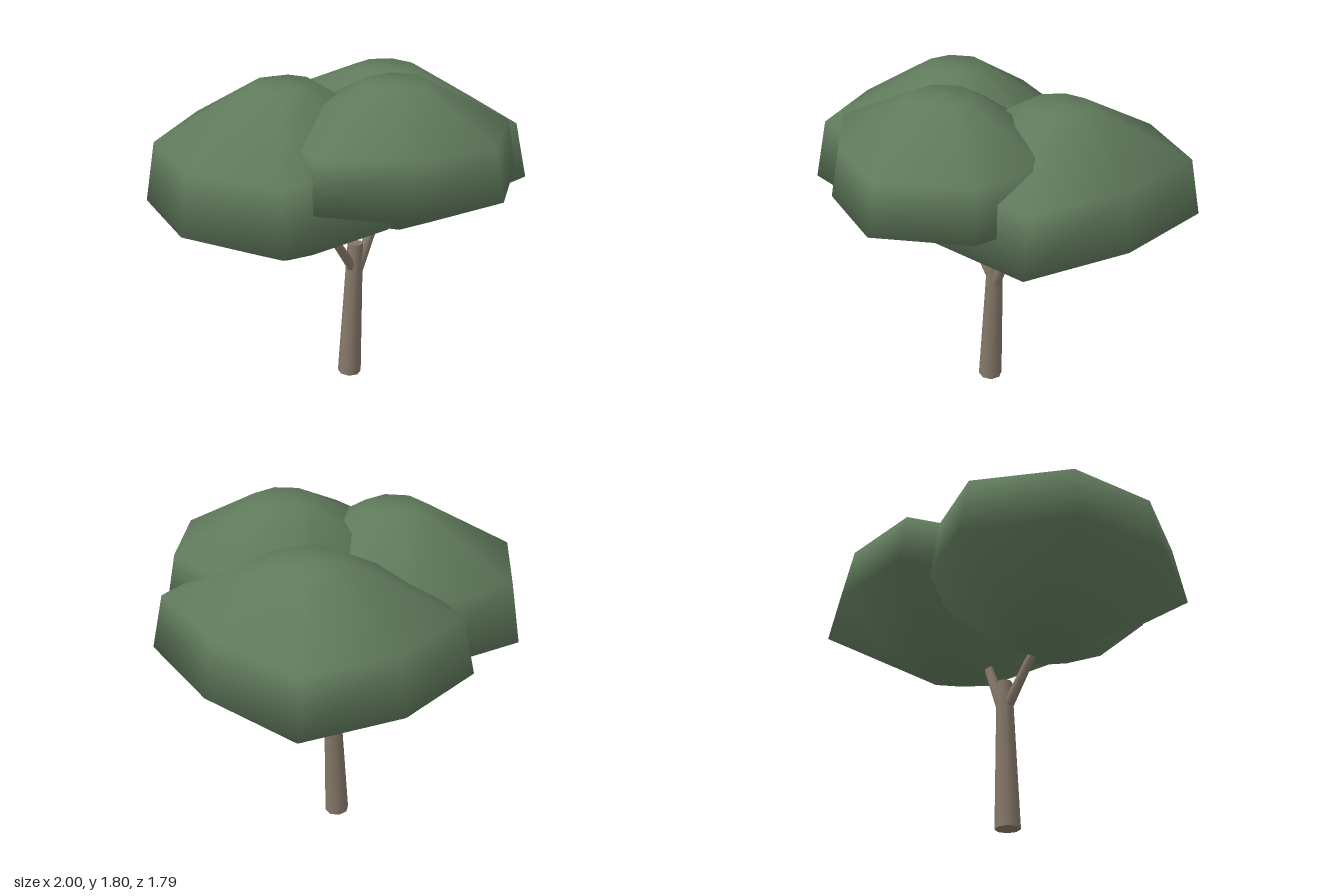
import * as THREE from 'three';

const leafMat = new THREE.MeshStandardMaterial({ color: 0x607a5c });
const barkMat = new THREE.MeshStandardMaterial({ color: 0x857868 });

// Foliage clump: one octagonal outline, scaled and stacked into four rings, closed by flat caps
function clump(name, cx, cz, heights, outline) {
  const scales = [0.25, 1, 0.915, 0.235];
  const n = outline.length;
  const pos = [], idx = [];
  heights.forEach((y, k) => {
    for (const [x, z] of outline) {
      let dx = x - cx, dz = z - cz;
      if (k === 0 || k === 3) {
        // the small cap rings are evened out to a regular size
        const f = 0.7 / Math.hypot(dx, dz);
        dx *= f;
        dz *= f;
      }
      pos.push(cx + dx * scales[k], y, cz + dz * scales[k]);
    }
  });
  const bottom = pos.length / 3, top = bottom + 1;
  pos.push(cx, heights[0], cz, cx, heights[3], cz);
  for (let i = 0; i < n; i++) {
    const j = (i + 1) % n;
    for (let k = 0; k < 3; k++) {
      const a = k * n + i, b = k * n + j, c = b + n, d = a + n;
      idx.push(a, d, b, b, d, c);
    }
    idx.push(bottom, i, j, 3 * n + i, top, 3 * n + j);
  }
  const geo = new THREE.BufferGeometry();
  geo.setAttribute('position', new THREE.Float32BufferAttribute(pos, 3));
  geo.setIndex(idx);
  geo.computeVertexNormals();
  const mesh = new THREE.Mesh(geo, leafMat);
  mesh.name = name;
  return mesh;
}

// Tapered limb running between two points
function limb(name, from, to, r0, r1) {
  const a = new THREE.Vector3(...from), b = new THREE.Vector3(...to);
  const dir = b.clone().sub(a);
  const mesh = new THREE.Mesh(new THREE.CylinderGeometry(r1, r0, dir.length(), 8), barkMat);
  mesh.position.copy(a).add(b).multiplyScalar(0.5);
  mesh.quaternion.setFromUnitVectors(new THREE.Vector3(0, 1, 0), dir.normalize());
  mesh.name = name;
  return mesh;
}

export function createModel() {
  const tree = new THREE.Group();
  tree.name = 'tree';

  // Trunk and its two forks
  tree.add(
    limb('trunk', [0.032, 0.003, -0.07], [0.07, 0.81, -0.06], 0.066, 0.042),
    limb('rightBranch', [0.06, 0.65, -0.06], [-0.13, 0.94, -0.055], 0.03, 0.022),
    limb('leftBranch', [0.075, 0.64, -0.055], [0.22, 0.97, -0.03], 0.033, 0.024)
  );

  // Three overlapping foliage clumps
  tree.add(
    clump('frontFoliage', 0.01, 0.28, [1.10, 1.33, 1.58, 1.80], [
      [0.64, 0.21], [0.52, 0.64], [0.10, 0.89], [-0.33, 0.71],
      [-0.65, 0.37], [-0.52, -0.08], [-0.08, -0.33], [0.33, -0.15]]),
    clump('rightFoliage', -0.31, -0.18, [0.88, 1.17, 1.48, 1.76], [
      [0.34, -0.22], [0.20, 0.30], [-0.25, 0.48], [-0.82, 0.38],
      [-1.00, -0.14], [-0.86, -0.63], [-0.37, -0.90], [0.20, -0.62]]),
    clump('leftFoliage', 0.38, -0.15, [0.92, 1.19, 1.48, 1.72], [
      [0.95, 0.04], [0.73, 0.56], [0.20, 0.55], [-0.22, 0.15],
      [-0.22, -0.42], [0.06, -0.87], [0.57, -0.80], [1.00, -0.52]])
  );
  return tree;
}
